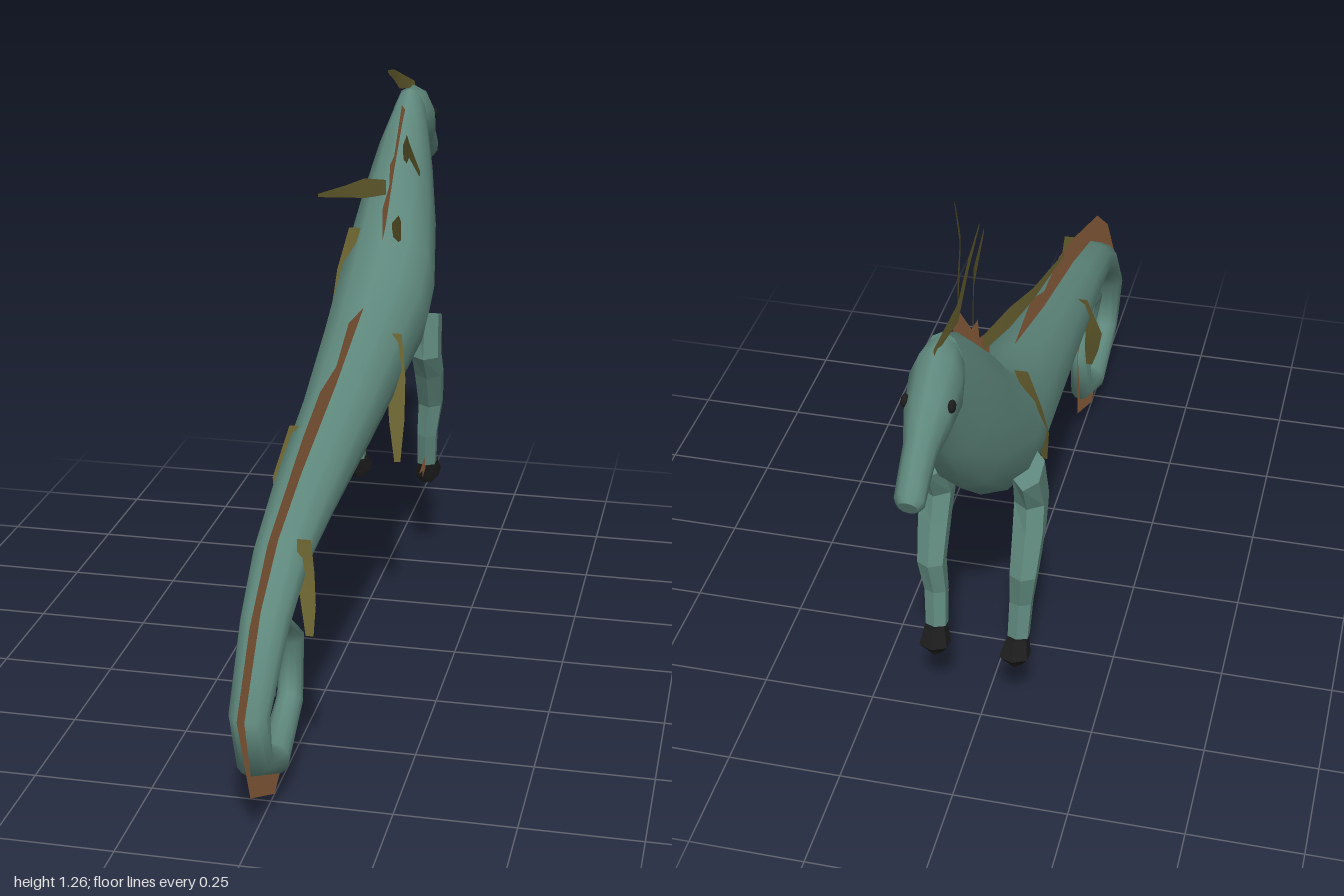
import * as THREE from 'three';

const mat = (name, color, side = THREE.FrontSide) => {
  const m = new THREE.MeshStandardMaterial({ color, side });
  m.name = name;
  return m;
};

// Skin over rings; each section is [topZ, topY, bottomZ, bottomY, halfWidth, centreX]
function loft(sections, sides, flat = false) {
  const pos = [], idx = [];
  const addRing = ([zt, yt, zb, yb, w, x = 0]) => {
    const start = pos.length / 3;
    for (let j = 0; j < sides; j++) {
      const a = (j / sides) * Math.PI * 2, c = Math.cos(a) / 2;
      pos.push(x + w * Math.sin(a), (yt + yb) / 2 + (yt - yb) * c, (zt + zb) / 2 + (zt - zb) * c);
    }
    return start;
  };
  const rings = sections.map(addRing);
  for (let i = 0; i + 1 < rings.length; i++) {
    for (let j = 0; j < sides; j++) {
      const k = (j + 1) % sides, a = rings[i], b = rings[i + 1];
      idx.push(a + j, a + k, b + j, a + k, b + k, b + j);
    }
  }
  // End caps have their own vertices, so their rims stay sharp
  const first = addRing(sections[0]), last = addRing(sections[sections.length - 1]);
  for (let j = 1; j + 1 < sides; j++) {
    idx.push(first, first + j + 1, first + j, last, last + j, last + j + 1);
  }
  let g = new THREE.BufferGeometry();
  g.setAttribute('position', new THREE.Float32BufferAttribute(pos, 3));
  g.setIndex(idx);
  if (flat) g = g.toNonIndexed();
  g.computeVertexNormals();
  return g;
}

// Thin leaf along points [x, y, z, halfWidth], widened along dir
function blade(points, dir) {
  const pos = [], idx = [];
  points.forEach(([x, y, z, h], i) => {
    for (const s of [1, -1]) pos.push(x + s * h * dir[0], y + s * h * dir[1], z + s * h * dir[2]);
    if (i) idx.push(2 * i - 2, 2 * i - 1, 2 * i, 2 * i - 1, 2 * i + 1, 2 * i);
  });
  const g = new THREE.BufferGeometry();
  g.setAttribute('position', new THREE.Float32BufferAttribute(pos, 3));
  g.setIndex(idx);
  g.computeVertexNormals();
  return g;
}

// Flat plate in the side plane, outline given as [z, y]
function plate(outline) {
  const shape = new THREE.Shape(outline.map(([z, y]) => new THREE.Vector2(z, y)));
  return new THREE.ShapeGeometry(shape).rotateY(-Math.PI / 2);
}

export function createModel() {
  const model = new THREE.Group();
  const skin = mat('teal skin', 0x5f887d);
  const finMat = mat('copper fin', 0x9c6c45, THREE.DoubleSide);
  const weed = mat('olive frond', 0x696230, THREE.DoubleSide);
  const black = mat('black', 0x1c1c1c);
  const add = (name, geometry, material) => {
    const m = new THREE.Mesh(geometry, material);
    m.name = name;
    model.add(m);
    return m;
  };

  // Neck, trunk and coiled tail, listed from the neck backwards
  const body = [
    [-0.72, 1.17, -0.755, 1.01, 0.042],
    [-0.63, 1.11, -0.69, 0.86, 0.07],
    [-0.52, 1.01, -0.62, 0.73, 0.095],
    [-0.42, 0.90, -0.47, 0.60, 0.115],
    [-0.32, 0.83, -0.37, 0.575, 0.117],
    [-0.155, 0.77, -0.17, 0.55, 0.104],
    [0.13, 0.685, 0.12, 0.51, 0.085],
    [0.46, 0.605, 0.45, 0.48, 0.07],
    [0.665, 0.54, 0.61, 0.455, 0.059],
    [0.81, 0.45, 0.75, 0.375, 0.05],
    [0.945, 0.28, 0.87, 0.28, 0.041],
    [0.905, 0.145, 0.84, 0.175, 0.036],
    [0.72, 0.05, 0.72, 0.12, 0.032],
    [0.56, 0.125, 0.605, 0.175, 0.028],
    [0.525, 0.285, 0.58, 0.275, 0.024],
    [0.65, 0.38, 0.655, 0.34, 0.018],
    [0.785, 0.315, 0.75, 0.305, 0.013],
    [0.703, 0.215, 0.70, 0.217, 0.002],
  ];
  add('body', loft(body.reverse(), 12), skin);

  // Head tapering to the muzzle
  add('head', loft([
    [-0.725, 1.165, -0.745, 1.02, 0.044],
    [-0.775, 1.17, -0.79, 1.0, 0.053],
    [-0.85, 1.12, -0.85, 0.995, 0.045],
    [-0.91, 1.07, -0.89, 0.985, 0.032],
    [-0.955, 1.035, -0.935, 0.96, 0.03],
    [-0.99, 1.0, -0.967, 0.94, 0.029],
    [-1.0, 0.985, -0.978, 0.945, 0.019],
  ], 10), skin);

  // Dorsal fin: outer edge, then back along the body
  add('dorsalFin', plate([
    [-0.18, 0.77], [0, 0.785], [0.13, 0.725], [0.29, 0.72], [0.45, 0.675], [0.75, 0.565],
    [0.895, 0.455], [1, 0.31], [0.91, 0.10], [0.72, 0.005], [0.53, 0.1], [0.52, 0.29], [0.69, 0.415],
    [0.72, 0.36], [0.62, 0.35], [0.555, 0.28], [0.58, 0.15], [0.72, 0.085], [0.87, 0.16],
    [0.905, 0.28], [0.78, 0.42], [0.64, 0.5], [0.3, 0.6], [0, 0.67], [-0.2, 0.74],
  ]), finMat);
  add('neckFin', plate([
    [-0.68, 1.12], [-0.615, 1.15], [-0.52, 1.045], [-0.47, 1.035], [-0.46, 0.985],
    [-0.38, 0.95], [-0.38, 0.87], [-0.45, 0.88], [-0.57, 1.0],
  ]), finMat);

  // Mane fronds
  const up = [0, 1, 0];
  [
    [[0, 1.168, -0.79, 0.008], [-0.02, 1.195, -0.69, 0.02], [-0.012, 1.23, -0.58, 0.013], [-0.008, 1.258, -0.475, 0.003]],
    [[0.012, 1.045, -0.57, 0.016], [0.04, 1.075, -0.47, 0.035], [0.075, 1.11, -0.31, 0.018], [0.13, 1.095, -0.145, 0.007]],
    [[-0.01, 0.98, -0.47, 0.018], [-0.045, 0.995, -0.39, 0.024], [-0.075, 1.005, -0.31, 0.014], [-0.11, 1.025, -0.18, 0.004]],
    [[0.015, 0.89, -0.42, 0.016], [0.05, 0.92, -0.32, 0.032], [0.08, 0.95, -0.19, 0.022], [0.09, 0.985, -0.06, 0.005]],
  ].forEach((p, i) => add('maneFrond' + (i + 1), blade(p, up), weed));

  // Fronds hanging from the flanks
  [
    [[-0.075, 0.89, -0.42, 0.014], [-0.1, 0.79, -0.4, 0.014], [-0.108, 0.7, -0.36, 0.012], [-0.102, 0.6, -0.32, 0.006]],
    [[0.083, 0.725, -0.13, 0.012], [0.09, 0.63, -0.1, 0.02], [0.097, 0.54, -0.065, 0.018], [0.105, 0.45, -0.035, 0.007]],
    [[-0.062, 0.63, 0.26, 0.012], [-0.085, 0.52, 0.29, 0.02], [-0.075, 0.45, 0.32, 0.016], [-0.065, 0.39, 0.345, 0.007]],
    [[0.052, 0.545, 0.665, 0.014], [0.057, 0.48, 0.675, 0.018], [0.067, 0.42, 0.695, 0.015], [0.073, 0.36, 0.712, 0.008]],
  ].forEach((p, i) => add('flankFrond' + (i + 1), blade(p, [1, 0, 0]), weed));

  for (const [side, s] of [['left', 1], ['right', -1]]) {
    // Front leg, from shoulder to ankle
    add(side + 'Leg', loft([
      [-0.515, 0.66, -0.405, 0.69, 0.032, 0.1 * s],
      [-0.48, 0.585, -0.385, 0.58, 0.037, 0.1 * s],
      [-0.5, 0.53, -0.425, 0.52, 0.037, 0.102 * s],
      [-0.538, 0.44, -0.47, 0.43, 0.032, 0.1 * s],
      [-0.525, 0.36, -0.475, 0.35, 0.027, 0.093 * s],
      [-0.54, 0.265, -0.49, 0.27, 0.025, 0.09 * s],
    ], 6, true), skin);
    // Hoof
    add(side + 'Hoof', loft([
      [-0.55, 0.28, -0.495, 0.265, 0.025, 0.09 * s],
      [-0.577, 0.245, -0.505, 0.228, 0.035, 0.088 * s],
      [-0.55, 0.208, -0.51, 0.216, 0.016, 0.088 * s],
    ], 6, true), black);
    // Forked ankle fin
    add(side + 'AnkleFin', plate([
      [-0.5, 0.275], [-0.475, 0.295], [-0.405, 0.278], [-0.45, 0.27], [-0.455, 0.25], [-0.495, 0.262],
    ]).translate(0.09 * s, 0, 0), finMat);
    // Eye
    const eye = add(side + 'Eye', new THREE.SphereGeometry(0.013, 10, 8), black);
    eye.scale.x = 0.6;
    eye.position.set(0.044 * s, 1.088, -0.835);
  }
  return model;
}
